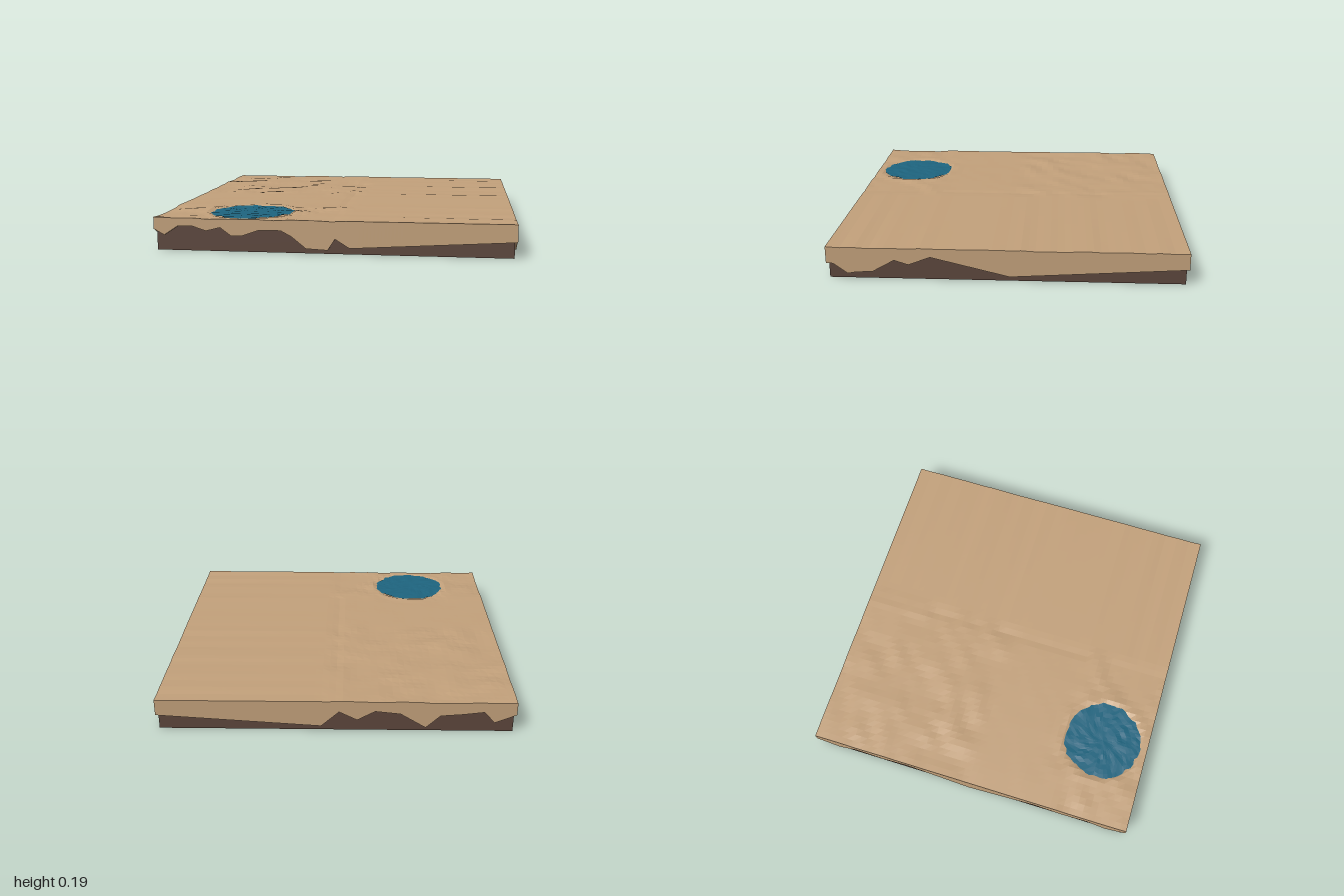
import * as THREE from 'three';

const N = 50; // terrain cells per side

const hash = (a, b) => {
  const s = Math.sin(a * 127.1 + b * 311.7) * 43758.5453;
  return (s - Math.floor(s)) * 2 - 1;
};
const step = THREE.MathUtils.smoothstep;

// Smooth value noise in -1..1
function noise(x, z) {
  const i = Math.floor(x), j = Math.floor(z);
  const u = step(x - i, 0, 1), v = step(z - j, 0, 1);
  const lerp = THREE.MathUtils.lerp;
  return lerp(lerp(hash(i, j), hash(i + 1, j), u), lerp(hash(i, j + 1), hash(i + 1, j + 1), u), v);
}

const pond = { x: -0.5, z: 0.72, r: 0.235 };

// Sand surface: bumpy at the back left, long streaks on the right, a basin for the pond
function sandHeight(x, z) {
  const calm = 1 - 0.85 * step(z, -0.1, 0.05) * (1 - step(z, 0.4, 0.6));
  const right = step(x, -0.02, 0.1);
  const bumps = noise(x * 9, z * 11 + x * 4) * 0.006;
  const streaks = noise(7.3, z * 13) * 0.005 * (0.35 + 0.65 * Math.max(x, 0));
  let y = 0.184 + calm * ((1 - right) * bumps + right * streaks);
  y -= 0.003 * Math.exp(-(((x - 0.01) / 0.025) ** 2)) * (z < 0.5 ? 1 : 0);
  const d = Math.hypot(x - pond.x, z - pond.z) / pond.r;
  y += 0.004 * Math.exp(-(((d - 1.12) / 0.12) ** 2));
  return y - 0.022 * (1 - step(d, 0.75, 1.08));
}

// Flat-shaded mesh from a list of four-cornered faces
function quadMesh(name, quads, color) {
  const points = quads.flatMap(([a, b, c, d]) => [a, b, c, a, c, d]);
  const geometry = new THREE.BufferGeometry().setFromPoints(points);
  geometry.computeVertexNormals();
  const mesh = new THREE.Mesh(geometry, new THREE.MeshStandardMaterial({
    color, flatShading: true, side: THREE.DoubleSide }));
  mesh.name = name;
  return mesh;
}

// Piecewise linear profile of [position, height] pairs
function profileAt(profile, u) {
  const k = Math.max(1, profile.findIndex((p) => p[0] >= u - 1e-6));
  const [a, b] = [profile[k - 1], profile[k]];
  return THREE.MathUtils.mapLinear(u, a[0], b[0], a[1], b[1]);
}

// Each side runs from left to right as seen from outside
const sides = [
  { name: 'frontSandEdge', at: (u, d) => [u, d],
    profile: [[-1, 0.12], [-0.94, 0.087], [-0.86, 0.14], [-0.78, 0.14], [-0.7, 0.115], [-0.62, 0.135],
      [-0.56, 0.09], [-0.5, 0.09], [-0.4, 0.125], [-0.28, 0.125], [-0.22, 0.093], [-0.14, 0.028],
      [-0.02, 0.022], [0.02, 0.085], [0.1, 0.035], [1, 0.09]] },
  { name: 'rightSandEdge', at: (u, d) => [d, -u],
    profile: [[-1, 0.09], [-0.96, 0.088], [-0.88, 0.03], [-0.84, 0.038], [-0.74, 0.045], [-0.62, 0.113],
      [-0.54, 0.088], [-0.42, 0.135], [0.02, 0.028], [1, 0.09]] },
  { name: 'backSandEdge', at: (u, d) => [-u, -d],
    profile: [[-1, 0.09], [-0.08, 0.03], [0.02, 0.12], [0.12, 0.07], [0.22, 0.125], [0.36, 0.11],
      [0.5, 0.025], [0.58, 0.1], [0.7, 0.11], [0.82, 0.125], [0.88, 0.06], [1, 0.11]] },
  { name: 'leftSandEdge', at: (u, d) => [-d, u],
    profile: [[-1, 0.11], [-0.86, 0.06], [-0.74, 0.12], [-0.56, 0.1], [-0.4, 0.13], [0, 0.03],
      [0.42, 0.12], [0.6, 0.09], [0.76, 0.11], [0.88, 0.06], [1, 0.12]] },
];

export function createModel() {
  const model = new THREE.Group();
  model.name = 'groundTile';
  const sand = 0xc4a27c;

  // Soil block
  const soil = new THREE.Mesh(new THREE.BoxGeometry(1.97, 0.155, 1.97),
    new THREE.MeshStandardMaterial({ color: 0x5d473d, flatShading: true }));
  soil.position.y = 0.0775;
  soil.name = 'soilBase';
  model.add(soil);

  // Sand surface
  const at = (i) => -1 + (2 * i) / N;
  const top = (i, j) => new THREE.Vector3(at(i), sandHeight(at(i), at(j)), at(j));
  const cells = [];
  for (let i = 0; i < N; i++) {
    for (let j = 0; j < N; j++) {
      cells.push([top(i, j), top(i, j + 1), top(i + 1, j + 1), top(i + 1, j)]);
    }
  }
  model.add(quadMesh('sandSurface', cells, sand));

  // Sand edges hanging over the soil, with a ragged lower lip
  for (const { name, at: place, profile } of sides) {
    const point = (u, d, y) => {
      const [x, z] = place(u, d);
      return new THREE.Vector3(x, y, z);
    };
    const outerTop = (k) => {
      const a = at(Math.floor(k / 2)), b = at(Math.ceil(k / 2));
      const y = (sandHeight(...place(a, 1)) + sandHeight(...place(b, 1))) / 2;
      return point((a + b) / 2, 1, y);
    };
    const low = (k, d) => {
      const u = -1 + k / N;
      return point(THREE.MathUtils.clamp(u, -d, d), d, profileAt(profile, u));
    };
    const faces = [];
    for (let k = 0; k < 2 * N; k++) {
      faces.push([low(k, 1), low(k + 1, 1), outerTop(k + 1), outerTop(k)]);
      faces.push([low(k, 1), low(k, 0.984), low(k + 1, 0.984), low(k + 1, 1)]);
    }
    model.add(quadMesh(name, faces, sand));
  }

  // Rippled pond, its outline irregular where it meets the bank
  const rings = 8, sectors = 48;
  const water = (ring, s) => {
    const sector = s % sectors, a = (sector / sectors) * Math.PI * 2;
    const r = (ring / rings) * (pond.r + 0.012 * hash(sector, 3));
    const x = pond.x + r * Math.cos(a), z = pond.z + r * Math.sin(a);
    return new THREE.Vector3(x, 0.182 + 0.003 * noise(x * 22, z * 40 + x * 20), z);
  };
  const ripples = [];
  for (let ring = 0; ring < rings; ring++) {
    for (let s = 0; s < sectors; s++) {
      ripples.push([water(ring, s), water(ring, s + 1), water(ring + 1, s + 1), water(ring + 1, s)]);
    }
  }
  model.add(quadMesh('pondWater', ripples, 0x1e6580));

  return model;
}
